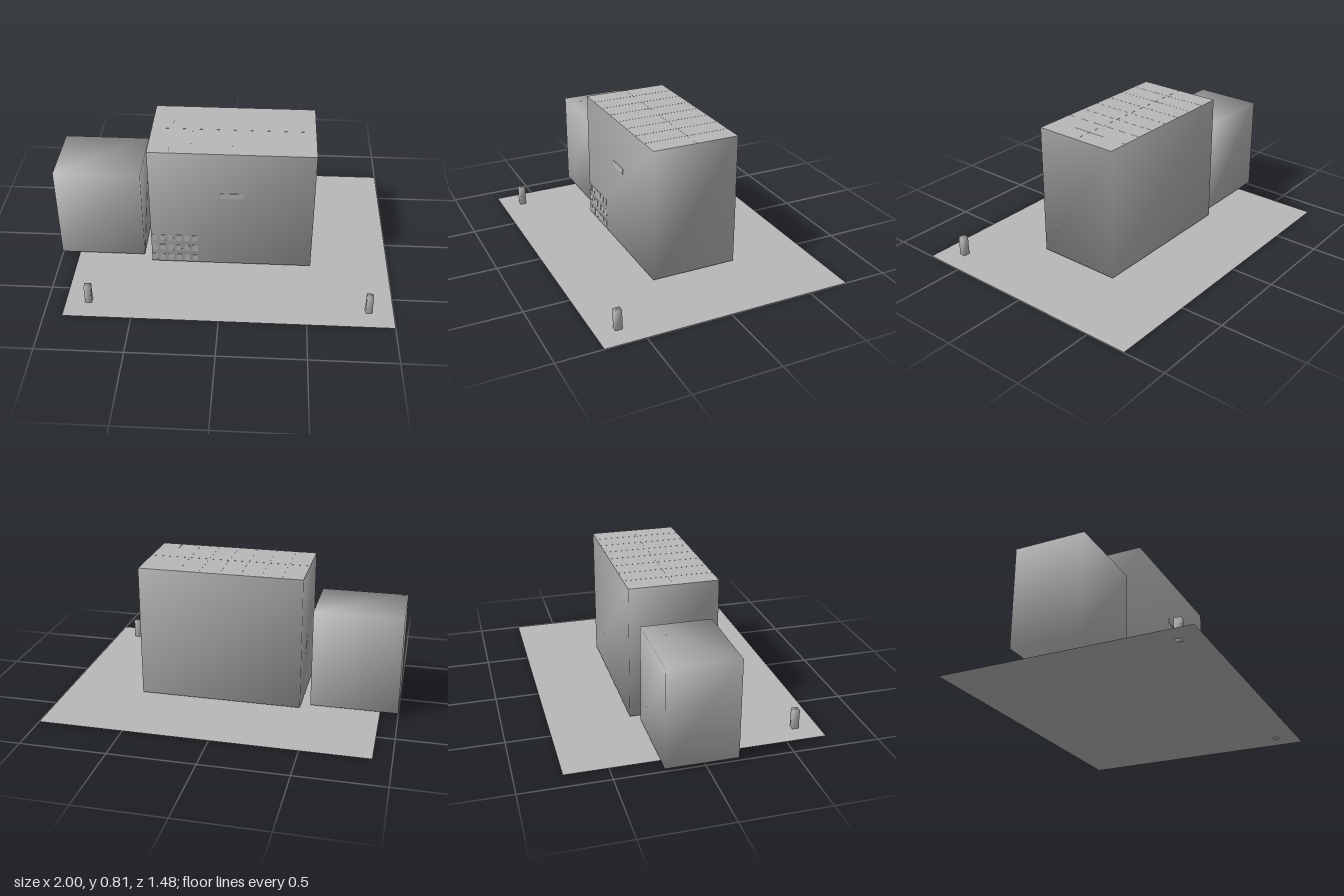
import * as THREE from 'three';
import { mergeVertices } from 'three/addons/utils/BufferGeometryUtils.js';

// Share corners so that shading runs softly across the edges
function soften(geometry) {
  geometry.deleteAttribute('normal');
  geometry.deleteAttribute('uv');
  const g = mergeVertices(geometry);
  g.computeVertexNormals();
  return g;
}

// Box given by its extents [min, max] on each axis
function block([x0, x1], [y0, y1], [z0, z1]) {
  return new THREE.BoxGeometry(x1 - x0, y1 - y0, z1 - z0)
    .translate((x0 + x1) / 2, (y0 + y1) / 2, (z0 + z1) / 2);
}

export function createModel() {
  const model = new THREE.Group();
  const grey = new THREE.MeshStandardMaterial({ color: 0xb8b8b8, side: THREE.DoubleSide });
  grey.name = 'plain grey';

  const add = (name, geometry, parent = model) => {
    const mesh = new THREE.Mesh(geometry, grey);
    mesh.name = name;
    parent.add(mesh);
    return mesh;
  };
  const group = (name) => {
    const g = new THREE.Group();
    g.name = name;
    model.add(g);
    return g;
  };

  // Ground sheet
  add('groundSheet', new THREE.PlaneGeometry(1.895, 1.48)
    .rotateX(-Math.PI / 2).translate(0.0525, 0.001, -0.005));

  // Main building: soft walls and floor under a flat roof
  const X = [-0.433, 0.53], Y = [0.017, 0.808], Z = [-0.277, 0.241];
  const walls = block(X, Y, Z);
  const index = Array.from(walls.index.array);
  index.splice(12, 6); // leave the top face open
  walls.setIndex(index);
  walls.clearGroups();
  add('mainWalls', soften(walls));
  add('mainRoof', new THREE.PlaneGeometry(X[1] - X[0], Z[1] - Z[0])
    .rotateX(-Math.PI / 2).translate((X[0] + X[1]) / 2, Y[1], (Z[0] + Z[1]) / 2));

  // Fine joints on the roof
  const joints = group('roofJoints');
  const jointY = [Y[1], Y[1] + 0.0006];
  add('longJoint', block(X, jointY, [-0.0205, -0.0195]), joints);
  for (let i = 0; i < 7; i++) {
    const x = -0.31 + i * 0.12;
    add('crossJoint', block([x - 0.0005, x + 0.0005], jointY, Z), joints);
  }

  // Name plate on the front, left blank
  add('frontPlate', block([-0.018, 0.118], [0.504, 0.538], [0.24, 0.244]));

  // Rows of small thin bricks low on the front wall
  const bricks = group('wallBricks');
  for (let row = 0; row < 3; row++) {
    for (let i = 0; i < 6; i++) {
      const x = -0.43 + i * 0.049;
      const y = 0.03 + row * 0.074;
      add('brick', block([x, x + 0.032], [y, y + 0.042], [0.24, 0.243]), bricks);
    }
  }

  // Side annex
  add('annex', soften(block([-1, -0.487], [0.017, 0.603], [-0.226, 0.186])));

  // Gate posts at the front corners
  for (const x of [-0.762, 0.858]) {
    add('gatePost', soften(block([x - 0.019, x + 0.019], [0, 0.118], [0.583, 0.621])));
  }

  return model;
}
